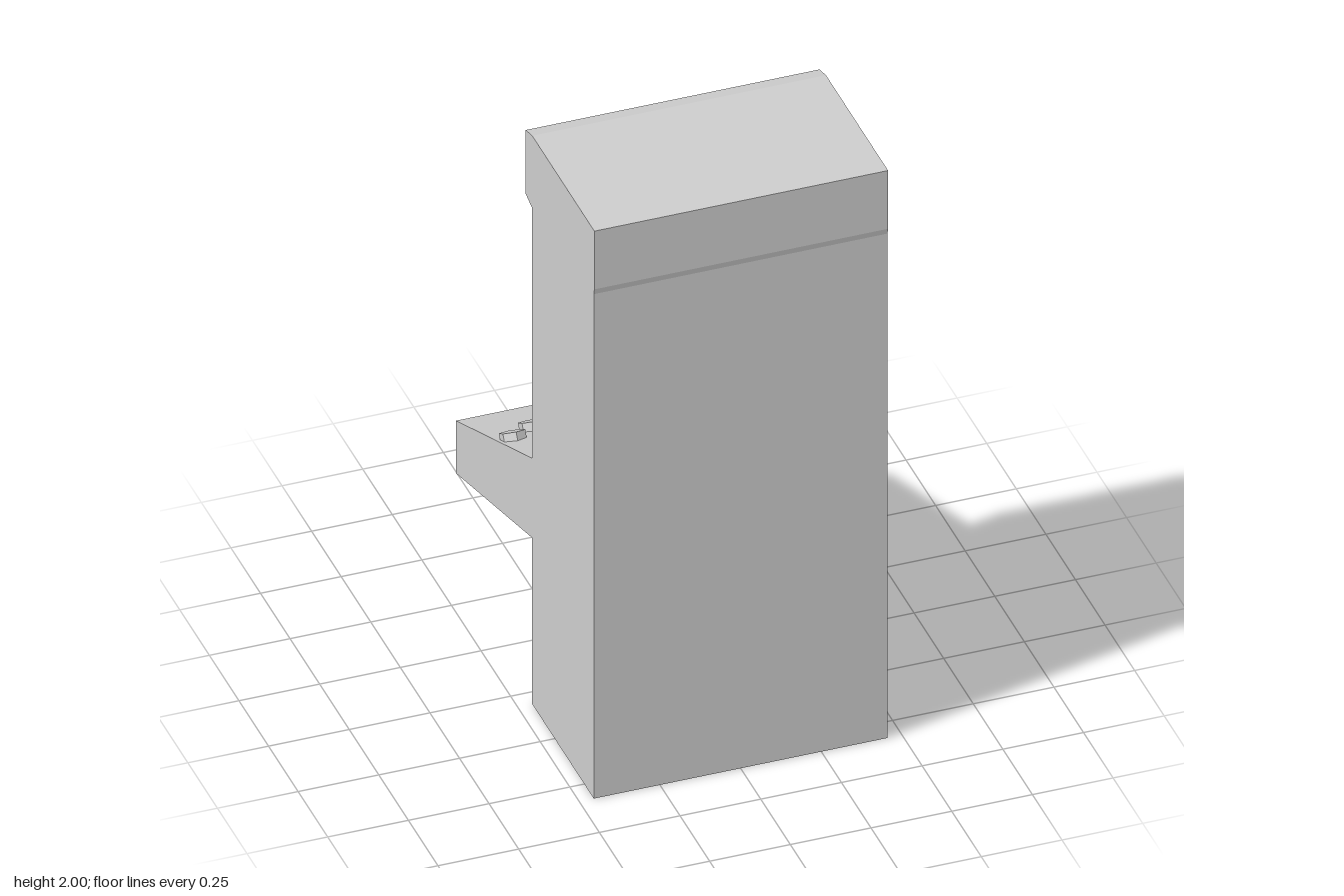
import * as THREE from 'three';

const HALF = 0.455;                 // half width of the cabinet
const FACE = 0.06;                  // z of the upright player-side face
const SCREEN = { x0: -0.408, x1: 0.402, y0: 1.135, y1: 1.71, depth: 0.04 };
const SLOPE = Math.atan2(0.28, 0.645);   // tilt of the control deck
const BUTTON_TILT = Math.PI / 6;

// height of the control deck surface at a given z
const deckY = (z) => 0.585 + (z + 0.585) * Math.tan(SLOPE);

export function createModel() {
  const model = new THREE.Group();
  model.name = 'arcadeCabinet';
  const grey = new THREE.MeshStandardMaterial({ color: 0xcccccc, flatShading: true });
  grey.name = 'lightGrey';

  const add = (name, geometry) => {
    const mesh = new THREE.Mesh(geometry, grey);
    mesh.name = name;
    model.add(mesh);
    return mesh;
  };

  // Side silhouette as [z, y]; the notch is the screen recess
  const profile = (notch) => [
    [0.58, 0], [0.58, 1.775], [0.585, 1.795], [0.585, 2], [FACE, 2],
    [0.005, 1.985], [0.005, 1.76], [FACE, 1.745],
    ...notch,
    [FACE, 0.865], [-0.585, 0.585], [-0.585, 0.4], [FACE, 0.585], [FACE, 0],
  ];

  // Extrude a silhouette across the width from x0 to x1
  const slab = (name, points, x0, x1) => {
    const shape = new THREE.Shape(points.map(([z, y]) => new THREE.Vector2(z, y)));
    const geometry = new THREE.ExtrudeGeometry(shape, { depth: x1 - x0, bevelEnabled: false });
    geometry.rotateY(-Math.PI / 2).translate(x1, 0, 0);
    add(name, geometry);
  };

  const inner = FACE + SCREEN.depth;
  const notch = [[FACE, SCREEN.y1], [inner, SCREEN.y1], [inner, SCREEN.y0], [FACE, SCREEN.y0]];
  slab('bodyRight', profile([]), -HALF, SCREEN.x0);
  slab('bodyCentreWithScreen', profile(notch), SCREEN.x0, SCREEN.x1);
  slab('bodyLeft', profile([]), SCREEN.x1, HALF);

  // Two hexagonal knobs under the screen
  for (const x of [-0.335, 0.293]) {
    const knob = new THREE.CylinderGeometry(0.05, 0.05, 0.05, 6);
    knob.rotateX(-Math.PI / 2);
    add('knob', knob).position.set(x, 0.95, 0.055);
  }

  // Hexagonal deck buttons: x, z of the cap centre, radius, exposed height
  const buttons = [
    ['largeButton', -0.015, -0.365, 0.079, 0.05],
    ['button', -0.323, -0.309, 0.04, 0.028],
    ['button', -0.409, -0.236, 0.04, 0.026],
    ['button', -0.215, -0.236, 0.04, 0.026],
    ['button', -0.323, -0.141, 0.04, 0.043],
    ['smallButton', -0.124, -0.253, 0.027, 0.028],
  ];
  const sin = Math.sin(BUTTON_TILT), cos = Math.cos(BUTTON_TILT);
  for (const [name, x, z, r, h] of buttons) {
    const length = h + 0.03;        // the lower end is sunk into the deck
    const capY = deckY(z + r * cos + h * sin) + h * cos - r * sin;
    const geometry = new THREE.CylinderGeometry(r, r, length, 6);
    geometry.translate(0, -length / 2, 0).rotateX(-BUTTON_TILT);
    add(name, geometry).position.set(x, capY, z);
  }

  // Two long raised strips lying along the deck
  for (const x of [0.2455, 0.3605]) {
    const strip = add('deckStrip', new THREE.BoxGeometry(0.065, 0.022, 0.6));
    strip.position.set(x, deckY(-0.28), -0.28);
    strip.rotation.x = -SLOPE;
  }

  return model;
}
